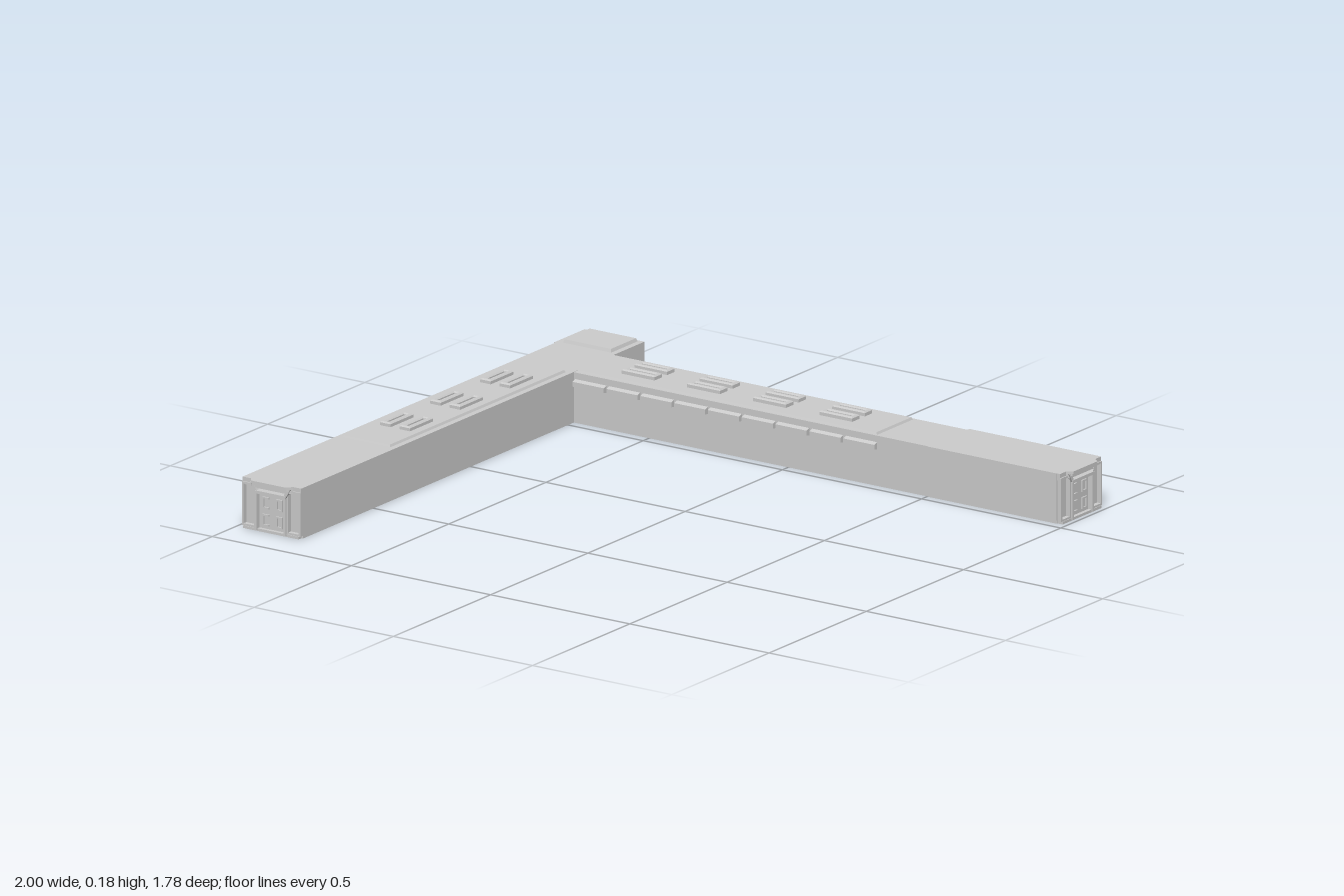
import * as THREE from 'three';

const mat = new THREE.MeshStandardMaterial({ color: 0xcccccc, flatShading: true });

function add(parent, name, geometry) {
  const mesh = new THREE.Mesh(geometry, mat);
  mesh.name = name;
  parent.add(mesh);
  return mesh;
}

// Box given by its limits on each axis
function block(parent, name, x0, x1, y0, y1, z0, z1) {
  const mesh = add(parent, name, new THREE.BoxGeometry(x1 - x0, y1 - y0, z1 - z0));
  mesh.position.set((x0 + x1) / 2, (y0 + y1) / 2, (z0 + z1) / 2);
  return mesh;
}

function polygon(points) {
  return new THREE.Shape(points.map(([x, y]) => new THREE.Vector2(x, y)));
}

function extrude(shape, depth) {
  return new THREE.ExtrudeGeometry(shape, { depth, bevelEnabled: false });
}

// Low roof slab with sloping edges
function roofSlab(parent, x0, x1, z0, z1, y0, y1) {
  const slab = block(parent, 'roofSlab', x0, x1, y0, y1, z0, z1);
  const p = slab.geometry.attributes.position;
  for (let i = 0; i < p.count; i++) {
    if (p.getY(i) > 0) {
      p.setX(i, p.getX(i) - Math.sign(p.getX(i)) * 0.004);
      p.setZ(i, p.getZ(i) - Math.sign(p.getZ(i)) * 0.004);
    }
  }
}

// Skylight: bevelled rectangular rim around a sunken pane
function skylight(parent, x, z, alongX) {
  const group = new THREE.Group();
  group.name = 'skylight';
  const rect = (w, h) => [[-w, -h], [w, -h], [w, h], [-w, h]];
  const rim = polygon(rect(0.055, 0.015));
  rim.holes.push(new THREE.Path(polygon(rect(0.05, 0.01)).getPoints().reverse()));
  const geometry = new THREE.ExtrudeGeometry(rim, {
    depth: 0.012, bevelThickness: 0.004, bevelSize: 0.004, bevelSegments: 1,
  });
  geometry.rotateX(-Math.PI / 2);
  add(group, 'skylightRim', geometry);
  block(group, 'skylightPane', -0.05, 0.05, 0, 0.008, -0.01, 0.01);
  group.position.set(x, 0.16, z);
  if (!alongX) group.rotation.y = Math.PI / 2;
  parent.add(group);
}

// Entrance end, facing +z with its wall plane at z = 0
function entrance(name) {
  const group = new THREE.Group();
  group.name = name;
  // Stepped roof overhang with a chamfered bay
  [[0.148, 0.156, 0.018], [0.141, 0.148, 0.014], [0.134, 0.141, 0.009]].forEach(([y0, y1, d]) => {
    const plan = polygon([[-0.105, 0.02], [-0.105, 0], [-0.076, 0], [-0.062, -d],
      [0.062, -d], [0.076, 0], [0.105, 0], [0.105, 0.02]]);
    const geometry = extrude(plan, y1 - y0);
    geometry.rotateX(-Math.PI / 2);
    geometry.translate(0, y0, 0);
    add(group, 'cornice', geometry);
  });
  for (const s of [-1, 1]) {
    // Framed side piers
    const pier = polygon([[-0.025, 0.008], [0.025, 0.008], [0.025, 0.143], [-0.025, 0.143]]);
    pier.holes.push(new THREE.Path([[-0.019, 0.014], [-0.019, 0.137], [0.019, 0.137], [0.019, 0.014]]
      .map(([x, y]) => new THREE.Vector2(x, y))));
    add(group, 'pierFrame', extrude(pier, 0.014)).position.set(s * 0.08, 0, -0.01);
    // Door jambs and sloping braces
    block(group, 'doorJamb', s * 0.052 - 0.004, s * 0.052 + 0.004, 0.003, 0.125, -0.01, 0.01);
    const brace = polygon([[0.046, 0.12], [0.056, 0.12], [0.072, 0.148], [0.06, 0.148]]
      .map(([x, y]) => [s * x, y]));
    add(group, 'doorBrace', extrude(brace, 0.012)).position.z = -0.002;
    // Raised bracket panels on the door
    for (const y of [0.035, 0.088]) {
      const panel = new THREE.Group();
      panel.name = 'doorPanel';
      block(panel, 'panelUpright', -0.012, -0.007, -0.018, 0.018, 0, 0.007);
      for (const e of [-1, 1]) {
        block(panel, 'panelRail', -0.007, 0.011, e * 0.0155 - 0.0025, e * 0.0155 + 0.0025, 0, 0.007);
      }
      if (s > 0) block(panel, 'panelUpright', 0.007, 0.011, -0.013, 0.013, 0, 0.007);
      panel.position.set(s * 0.024, y, -0.008);
      group.add(panel);
    }
  }
  block(group, 'doorLintel', -0.056, 0.056, 0.117, 0.126, -0.01, 0.012);
  block(group, 'doorLeaf', -0.048, 0.048, 0.003, 0.117, -0.012, -0.006);
  block(group, 'doorSill', -0.1, 0.1, 0, 0.008, -0.012, 0.006);
  return group;
}

export function createModel() {
  const model = new THREE.Group();
  model.name = 'corridorBuilding';

  // Two wings meeting in a corner
  block(model, 'longWing', -0.98, -0.77, 0, 0.156, -0.735, 0.862);
  block(model, 'crossWing', -0.77, 0.505, 0, 0.155, -0.73, -0.53);
  block(model, 'crossWingEnd', 0.505, 0.967, 0.01, 0.156, -0.738, -0.525);
  block(model, 'crossWingEndBase', 0.505, 0.967, 0, 0.01, -0.735, -0.528);
  block(model, 'rearBlock', -0.985, -0.77, 0.012, 0.156, -0.893, -0.735);

  // Thin cladding on the outer side of the long wing
  for (const [z0, z1] of [[-0.73, -0.352], [-0.35, 0.023], [0.025, 0.4]]) {
    block(model, 'sideCladding', -0.998, -0.98, 0.015, 0.14, z0, z1);
  }

  // Roof slabs
  roofSlab(model, -0.962, -0.788, -0.515, 0.388, 0.155, 0.163);
  roofSlab(model, -0.962, -0.788, -0.885, -0.748, 0.155, 0.166);
  roofSlab(model, -0.765, 0.315, -0.722, -0.535, 0.154, 0.162);

  // Skylights in pairs
  for (const z of [-0.33, -0.073, 0.185]) {
    for (const x of [-0.907, -0.837]) skylight(model, x, z, false);
  }
  for (const x of [-0.575, -0.34, -0.103, 0.135]) {
    for (const z of [-0.665, -0.6]) skylight(model, x, z, true);
  }

  // Row of window hoods under the roof edge of the cross wing
  const hood = polygon([[0, 0.112], [0.017, 0.115], [0.017, 0.13], [0, 0.136]]);
  for (let i = 0; i < 9; i++) {
    const x = -0.765 + i * 0.1215;
    const geometry = extrude(hood, 0.112);
    geometry.rotateY(-Math.PI / 2);
    geometry.translate(x + 0.112, 0, -0.533);
    add(model, 'windowHood', geometry);
  }

  // Entrances at the free ends of both wings
  const front = entrance('frontEntrance');
  front.position.set(-0.875, 0, 0.872);
  const side = entrance('sideEntrance');
  side.position.set(0.979, 0, -0.6315);
  side.rotation.y = Math.PI / 2;
  model.add(front, side);

  return model;
}
